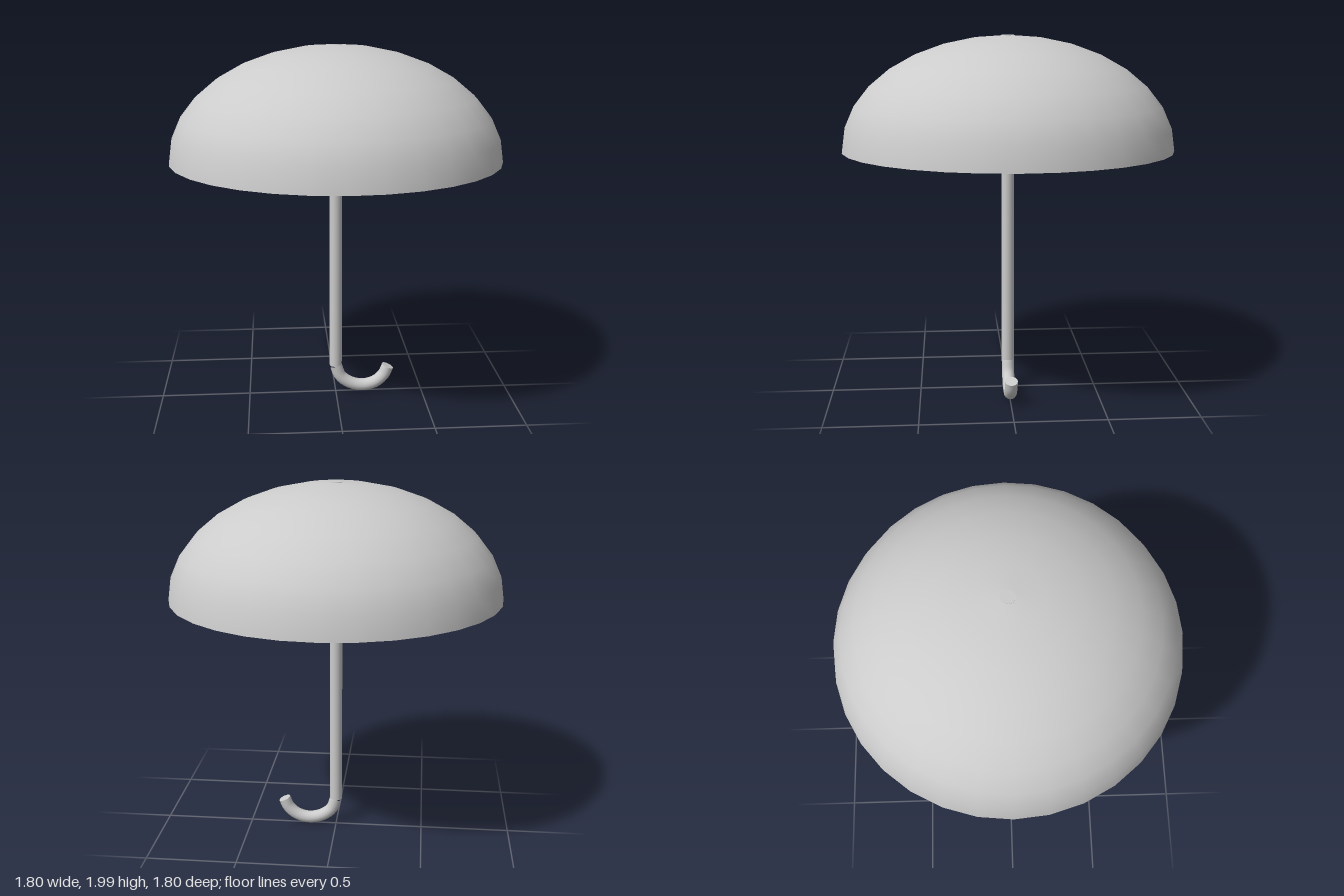
import * as THREE from 'three';

const material = new THREE.MeshStandardMaterial({ color: 0xcccccc });
const doubleSided = new THREE.MeshStandardMaterial({ color: 0xcccccc, side: THREE.DoubleSide });
const flat = new THREE.MeshStandardMaterial({ color: 0xcccccc, side: THREE.DoubleSide, flatShading: true });

const BASE = 1.39, SIDES = 32, STICK = 0.035;

// Quarter-ellipse profile from the rim up to the crown
function domeProfile(radius, height, from = 0, to = 8) {
  const points = [];
  for (let i = from; i <= to; i++) {
    const a = (i / 8) * Math.PI / 2;
    points.push(new THREE.Vector2(i === 8 ? 0 : radius * Math.cos(a), BASE + height * Math.sin(a)));
  }
  return points;
}

export function createModel() {
  const group = new THREE.Group();
  const add = (name, geometry, mat = material) => {
    const mesh = new THREE.Mesh(geometry, mat);
    mesh.name = name;
    group.add(mesh);
    return mesh;
  };
  const lathe = (points) => new THREE.LatheGeometry(points, SIDES, Math.PI / 2);

  // Canopy: thin shell with a faceted band inside the rim
  add('canopyOuter', lathe(domeProfile(0.9, 0.61)));
  add('canopyLining', lathe(domeProfile(0.888, 0.6, 1, 8)), doubleSided);
  add('canopyInnerBand', lathe(domeProfile(0.888, 0.6, 0, 1)), flat);
  add('canopyRim', lathe([new THREE.Vector2(0.888, BASE), new THREE.Vector2(0.9, BASE)]), flat);

  // Stick, its top just breaking through the crown
  const bottom = 0.17;
  const stick = add('stick', new THREE.CylinderGeometry(STICK, STICK, 2 - bottom, 16));
  stick.position.y = (2 + bottom) / 2;

  // Curved handle
  const path = new THREE.CatmullRomCurve3([
    [0, bottom], [0.027, 0.1], [0.085, 0.056], [0.16, 0.04],
    [0.23, 0.058], [0.28, 0.102], [0.303, 0.155],
  ].map(([x, y]) => new THREE.Vector3(x, y, 0)));
  add('handle', new THREE.TubeGeometry(path, 20, STICK, 16));

  // Flat end of the handle
  const cap = add('handleEnd', new THREE.CircleGeometry(STICK, 16));
  cap.position.copy(path.getPoint(1));
  cap.quaternion.setFromUnitVectors(new THREE.Vector3(0, 0, 1), path.getTangent(1));

  return group;
}
